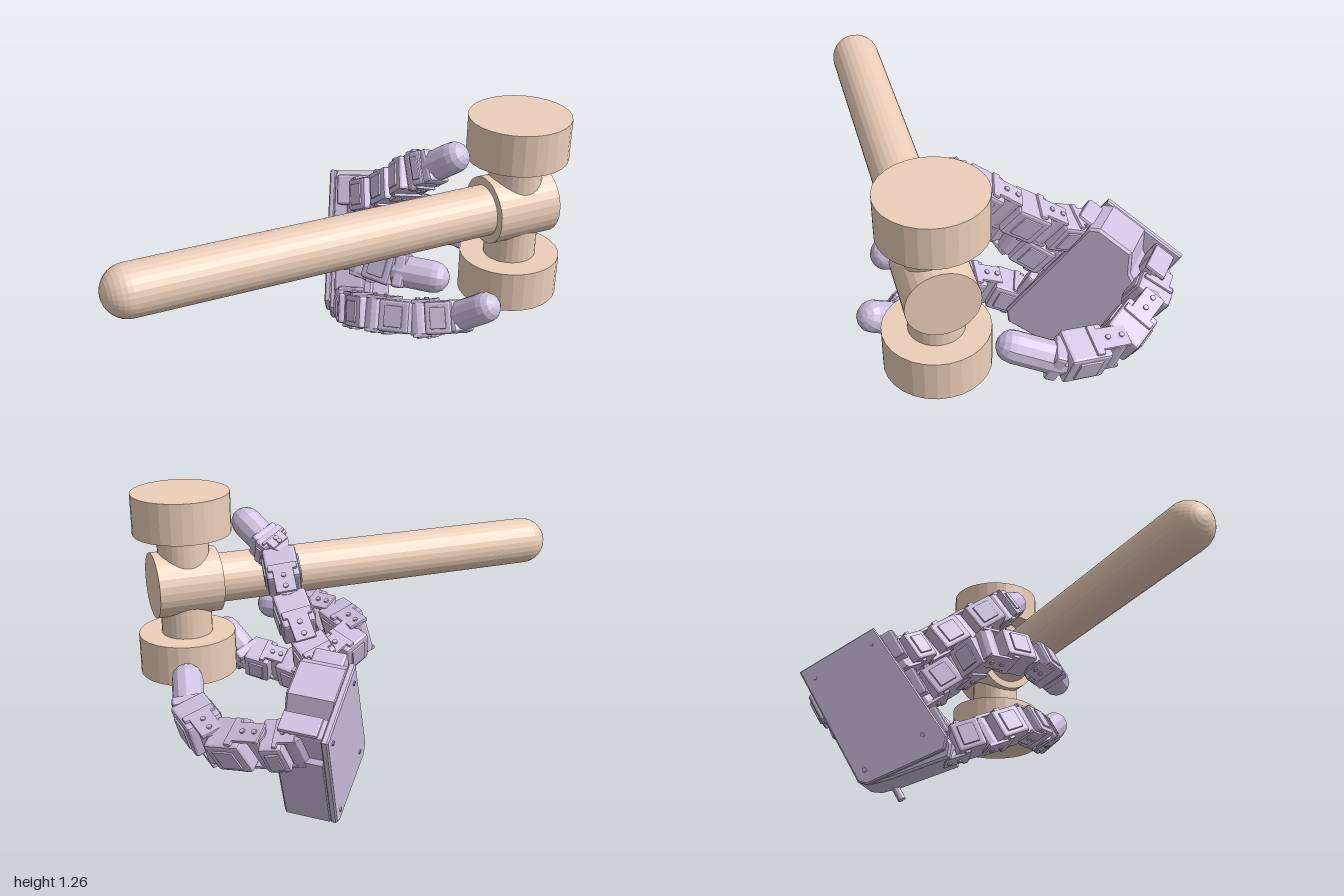
import * as THREE from 'three';
import { RoundedBoxGeometry } from 'three/addons/geometries/RoundedBoxGeometry.js';

const V = (x, y, z) => new THREE.Vector3(x, y, z);
const wood = new THREE.MeshStandardMaterial({ color: 0xeccfba, flatShading: true });
const shell = new THREE.MeshStandardMaterial({ color: 0xcdc1e0, flatShading: true });

// Palm axes: across the knuckles, toward the fingers, out of the palm
const ACROSS = V(0.218, 0.872, -0.436).normalize();
const OUT = V(0.788, 0.103, 0.601).normalize();
const FORWARD = OUT.clone().cross(ACROSS).normalize();

function add(parent, name, geometry, material, x = 0, y = 0, z = 0) {
  const mesh = new THREE.Mesh(geometry, material);
  mesh.name = name;
  mesh.position.set(x, y, z);
  parent.add(mesh);
  return mesh;
}

const box = (w, h, d, r = 0.012) => new RoundedBoxGeometry(w, h, d, 1, r);

function extrude(points, depth, bevel) {
  const shape = new THREE.Shape(points.map(([x, y]) => new THREE.Vector2(x, y)));
  return new THREE.ExtrudeGeometry(shape, {
    depth: depth - 2 * bevel, bevelThickness: bevel,
    bevelSize: bevel, bevelOffset: -bevel, bevelSegments: 1,
  }).translate(0, 0, bevel);
}

function createHammer() {
  const hammer = new THREE.Group();
  hammer.name = 'hammer';
  const cylinder = (r, length) => new THREE.CylinderGeometry(r, r, length, 28);
  // Handle with a round end, lying along x
  add(hammer, 'handle', cylinder(0.108, 1.6).rotateZ(Math.PI / 2), wood, -0.87);
  add(hammer, 'handleEnd', new THREE.SphereGeometry(0.108, 28, 8, 0, Math.PI * 2, 0, Math.PI / 2)
    .rotateZ(Math.PI / 2), wood, -1.67);
  add(hammer, 'hub', cylinder(0.143, 0.28).rotateZ(Math.PI / 2), wood);
  add(hammer, 'neck', cylinder(0.11, 0.5), wood);
  for (const s of [-1, 1]) add(hammer, 'strikingHead', cylinder(0.21, 0.177), wood, 0, s * 0.314, 0);
  hammer.position.set(0.78, 0.86, 0.418);
  hammer.rotation.z = 0.0125;
  return hammer;
}

function createPalm() {
  const palm = new THREE.Group();
  palm.name = 'palm';
  palm.applyMatrix4(new THREE.Matrix4().makeBasis(ACROSS, FORWARD, OUT).setPosition(0.41, 0.008, -0.42));
  // Full back plate, and a body cut away at the thumb corner
  add(palm, 'backPlate', extrude([[0.03, 0], [0.615, 0], [0.615, 0.385], [0, 0.43], [-0.045, 0.39], [0, 0.03]],
    0.03, 0.006), shell);
  add(palm, 'palmBody', extrude([[0.03, 0], [0.45, 0], [0.53, 0.14], [0.615, 0.19], [0.615, 0.35],
    [0.585, 0.388], [-0.03, 0.43], [-0.08, 0.39], [-0.025, 0.12], [0, 0.04]], 0.205, 0.01), shell, 0, 0, 0.022);
  // Knuckle sockets along the front edge
  for (const x of [0.1, 0.31, 0.52]) add(palm, 'knuckleSocket', box(0.14, 0.08, 0.14), shell, x, 0.41, 0.12);
  // Thumb mount: block, two cheeks and an axle
  add(palm, 'thumbMount', box(0.16, 0.1, 0.11), shell, 0.52, 0.07, 0.08);
  for (const x of [0.43, 0.6]) add(palm, 'thumbCheek', box(0.02, 0.09, 0.16, 0.006), shell, x, 0.07, 0.13);
  add(palm, 'thumbAxle', new THREE.CylinderGeometry(0.035, 0.035, 0.19, 12).rotateZ(Math.PI / 2), shell, 0.515, 0.07, 0.17);
  // Peg under the lower edge
  add(palm, 'peg', new THREE.CylinderGeometry(0.018, 0.018, 0.1, 10).rotateZ(Math.PI / 2), shell, -0.03, 0.105, 0.2);
  // Screw heads on the back
  for (const x of [0.06, 0.55]) for (const y of [0.05, 0.34]) {
    add(palm, 'screw', new THREE.CylinderGeometry(0.01, 0.01, 0.008, 10).rotateX(Math.PI / 2), shell, x, y, -0.002);
  }
  return palm;
}

// Group running from a to b along its own y, with its hinge along x
function frameBetween(a, b) {
  const group = new THREE.Group();
  const y = b.clone().sub(a).normalize();
  const x = ACROSS.clone().addScaledVector(y, -ACROSS.dot(y)).normalize();
  const z = x.clone().cross(y);
  group.applyMatrix4(new THREE.Matrix4().makeBasis(x, y, z).setPosition(a));
  return group;
}

function createLink(a, b, w) {
  const link = frameBetween(a, b);
  link.name = 'fingerLink';
  const len = a.distanceTo(b);
  // Motor housing with a raised cover on each broad face
  add(link, 'motorHousing', box(w, len * 0.7, w * 0.98), shell, 0, len * 0.56, 0);
  for (const s of [-1, 1]) {
    add(link, 'cover', box(w * 0.66, len * 0.4, 0.016, 0.004), shell, 0, len * 0.56, s * w * 0.49);
    // Bracket arms reaching back around the hinge
    add(link, 'bracketArm', box(0.016, len * 0.55, w * 0.6, 0.004), shell, s * w * 0.52, len * 0.14, 0);
    add(link, 'bracketRib', box(0.02, len * 0.14, w * 0.85, 0.004), shell, s * w * 0.51, len * 0.42, 0);
    for (const t of [-0.02, 0.22]) {
      add(link, 'screw', new THREE.CylinderGeometry(0.011, 0.011, 0.01, 8).rotateZ(Math.PI / 2), shell,
        s * (w * 0.52 + 0.01), len * t, 0);
    }
  }
  add(link, 'hinge', new THREE.CylinderGeometry(w * 0.3, w * 0.3, w * 1.02, 12).rotateZ(Math.PI / 2), shell);
  return link;
}

function createTip(a, b) {
  const tip = frameBetween(a, b);
  tip.name = 'fingertip';
  const len = a.distanceTo(b);
  add(tip, 'tipCollar', box(0.14, 0.05, 0.125), shell);
  // Soft rounded pad, ending a little past b
  add(tip, 'tipPad', new THREE.CapsuleGeometry(0.066, len, 4, 12), shell, 0, len * 0.45, 0);
  return tip;
}

// Each digit: link width, then a chain of joints from knuckle to tip
const DIGITS = {
  upperFinger: [0.145, [0.39, 0.64, -0.28], [0.43, 0.725, -0.13], [0.435, 0.865, 0.06], [0.41, 1.0, 0.24], [0.45, 1.04, 0.3], [0.505, 1.11, 0.38]],
  middleFinger: [0.145, [0.33, 0.45, -0.2], [0.29, 0.58, -0.03], [0.12, 0.645, 0.04], [0.16, 0.665, 0.27], [0.26, 0.66, 0.43], [0.36, 0.66, 0.53]],
  lowerFinger: [0.14, [0.27, 0.2, -0.1], [0.22, 0.27, 0.07], [0.23, 0.36, 0.26], [0.36, 0.395, 0.42], [0.49, 0.43, 0.52], [0.555, 0.525, 0.63]],
  thumb: [0.155, [0.61, 0.48, -0.53], [0.72, 0.46, -0.45], [0.865, 0.42, -0.27], [0.9, 0.46, -0.02], [0.86, 0.53, 0.15]],
};

function createDigit(name, width, points) {
  const digit = new THREE.Group();
  digit.name = name;
  const p = points.map((c) => V(...c));
  const last = p.length - 2;
  for (let i = 0; i < last; i++) digit.add(createLink(p[i], p[i + 1], width));
  digit.add(createTip(p[last], p[last + 1]));
  return digit;
}

export function createModel() {
  const model = new THREE.Group();
  model.name = 'robotHandWithHammer';
  model.add(createHammer());
  const hand = new THREE.Group();
  hand.name = 'hand';
  hand.add(createPalm());
  for (const [name, [width, ...points]] of Object.entries(DIGITS)) hand.add(createDigit(name, width, points));
  model.add(hand);
  return model;
}
